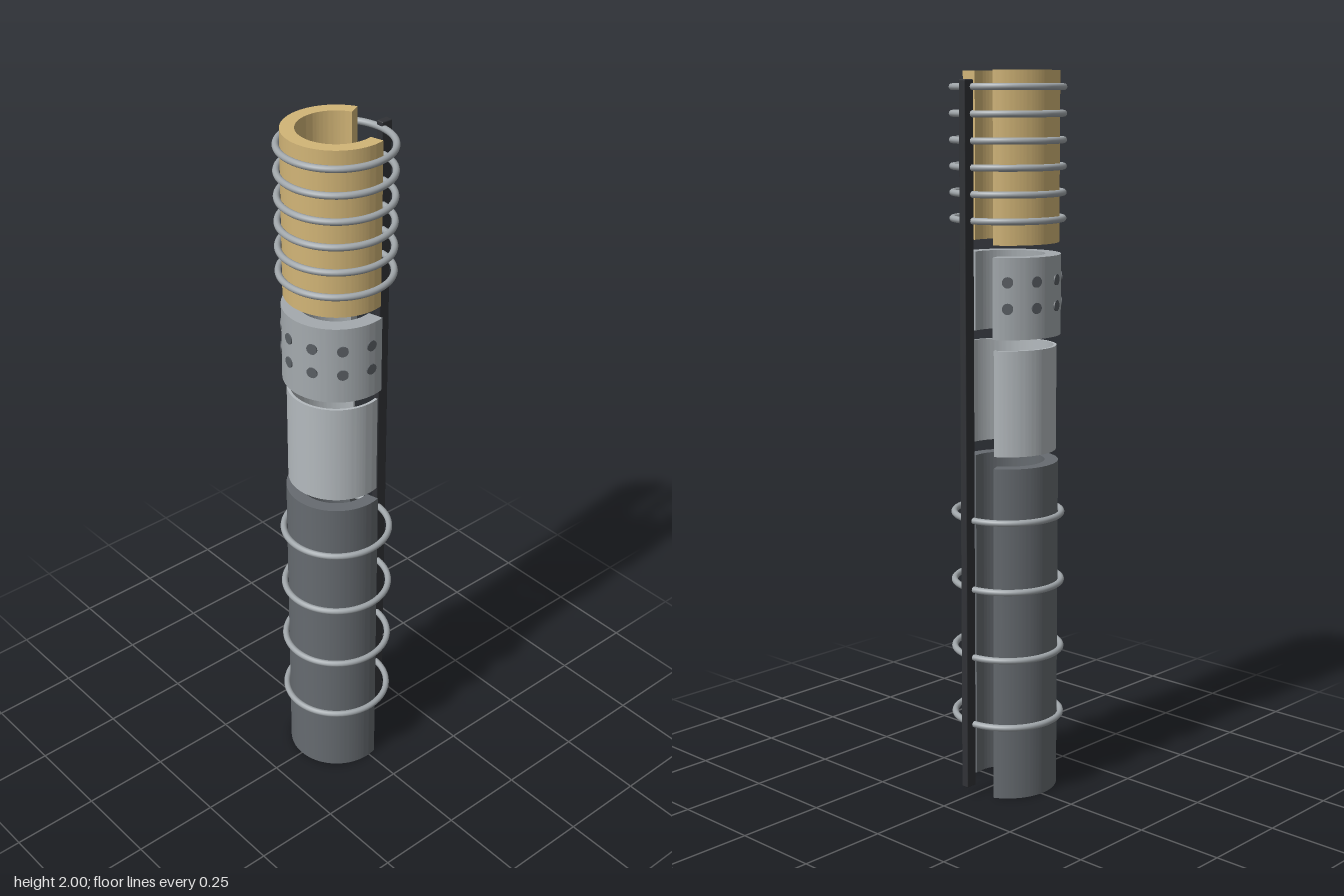
import * as THREE from 'three';
import { toCreasedNormals } from 'three/addons/utils/BufferGeometryUtils.js';
import { RoundedBoxGeometry } from 'three/addons/geometries/RoundedBoxGeometry.js';

const AXIS_X = -0.01;   // tube axis, offset to leave room for the side rod
const START = 0.462;    // cutaway sleeves run from START over SWEEP radians
const SWEEP = 4.5;

const paint = (color) => new THREE.MeshStandardMaterial({ color });

function addMesh(parent, name, geometry, material, x = 0, y = 0, z = 0) {
  const mesh = new THREE.Mesh(geometry, material);
  mesh.name = name;
  mesh.position.set(x, y, z);
  parent.add(mesh);
  return mesh;
}

// Thick-walled tube with a lengthwise section cut out, standing on y = 0
function sleeveGeometry(outer, inner, height) {
  const shape = new THREE.Shape();
  shape.absarc(0, 0, outer, START, START + SWEEP, false);
  shape.absarc(0, 0, inner, START + SWEEP, START, true);
  shape.closePath();
  const geo = new THREE.ExtrudeGeometry(shape, { depth: height, bevelEnabled: false, curveSegments: 64 });
  geo.rotateX(-Math.PI / 2);
  return toCreasedNormals(geo, 0.5);
}

export function createModel() {
  const model = new THREE.Group();
  model.name = 'cutawayTube';
  const tube = new THREE.Group();
  tube.name = 'tube';
  tube.position.x = AXIS_X;
  model.add(tube);

  // Stacked sleeves: name, outer radius, inner radius, bottom, top, color
  const sleeves = [
    ['lowerSleeve', 0.139, 0.102, 0, 0.945, 0x666b70],
    ['middleSleeve', 0.133, 0.125, 0.977, 1.266, 0xb4babe],
    ['studdedCollar', 0.144, 0.102, 1.297, 1.515, 0xa4aaae],
    ['upperSleeve', 0.139, 0.102, 1.547, 2, 0xd2b577],
  ];
  for (const [name, outer, inner, bottom, top, color] of sleeves) {
    addMesh(tube, name, sleeveGeometry(outer, inner, top - bottom), paint(color), 0, bottom, 0);
  }

  // Two rows of studs around the collar
  const studGeo = new THREE.CylinderGeometry(0.015, 0.015, 0.02, 20).rotateZ(-Math.PI / 2);
  const studMat = paint(0x5a5f64);
  for (const y of [1.38, 1.45]) {
    for (let i = 0; i < 8; i++) {
      const a = START + (SWEEP * (i + 0.5)) / 8;
      const stud = addMesh(tube, 'stud', studGeo, studMat, 0.137 * Math.cos(a), y, -0.137 * Math.sin(a));
      stud.rotation.y = a;
    }
  }

  // Full rings: four around the lower sleeve, six around the upper one
  const ringGeo = new THREE.TorusGeometry(0.149, 0.009, 12, 72).rotateX(Math.PI / 2);
  const ringMat = paint(0xa0a6aa);
  const addRings = (name, count, first, step) => {
    for (let i = 0; i < count; i++) addMesh(tube, name, ringGeo, ringMat, 0, first + i * step, 0);
  };
  addRings('lowerRing', 4, 0.212, 0.195);
  addRings('upperRing', 6, 1.61, 0.0694);

  // Upright rod beside the tube
  addMesh(model, 'sideRod', new RoundedBoxGeometry(0.034, 1.945, 0.022, 2, 0.003), paint(0x303236), 0.15, 1.003, 0);

  return model;
}
